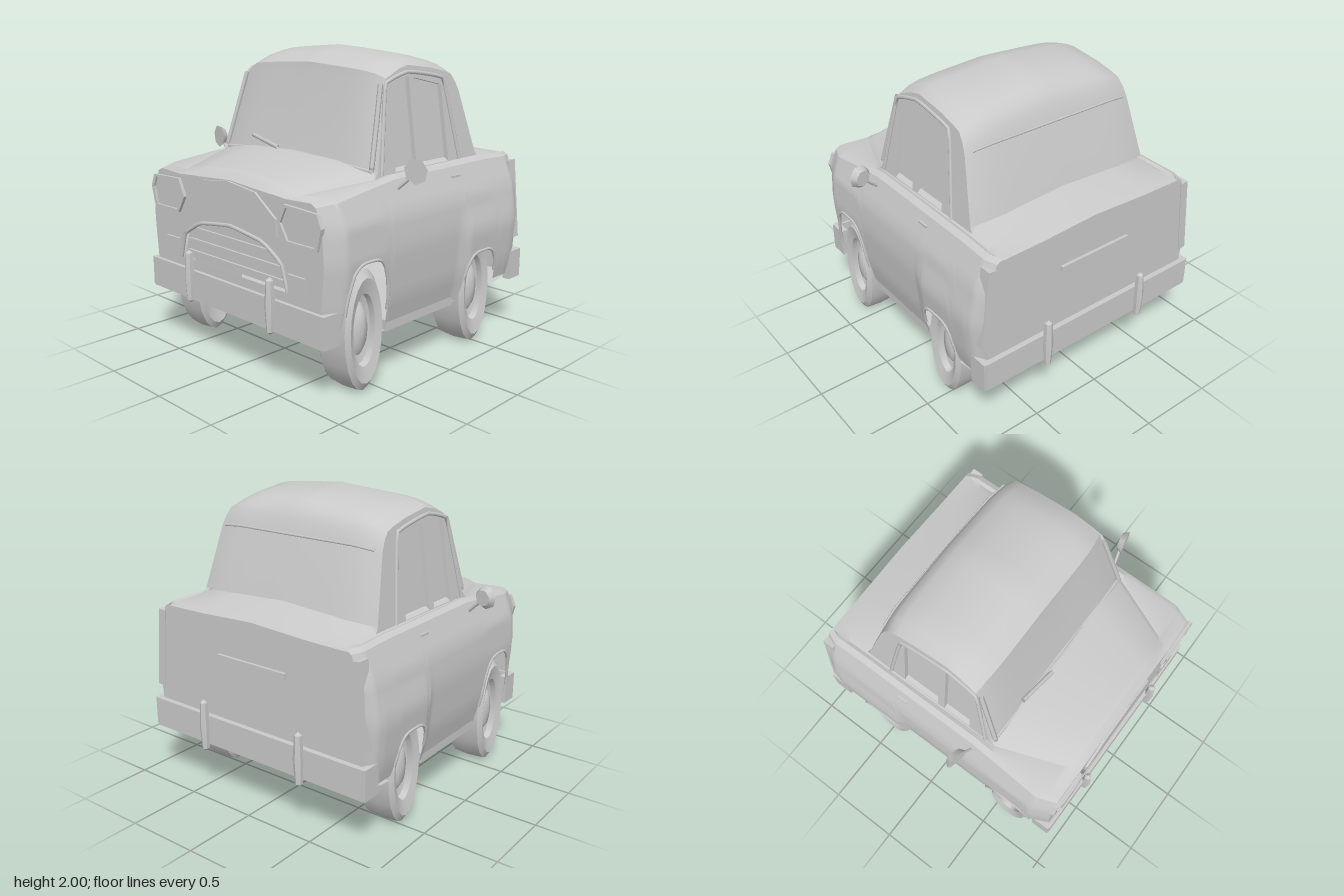
import * as THREE from 'three';
import { toCreasedNormals } from 'three/addons/utils/BufferGeometryUtils.js';

const paint = new THREE.MeshStandardMaterial({ color: 0xcacaca, side: THREE.DoubleSide });
paint.name = 'plain grey';

// piecewise linear lookup, keys ascending
function lerpKeys(keys, t) {
  if (t <= keys[0][0]) return keys[0][1];
  for (let i = 1; i < keys.length; i++) {
    const [a, va] = keys[i - 1], [b, vb] = keys[i];
    if (t <= b) return va + (vb - va) * (t - a) / (b - a);
  }
  return keys[keys.length - 1][1];
}

// surface through rows of points
function loft(rows, crease = 0.5) {
  const n = rows[0].length, index = [];
  for (let i = 0; i < rows.length - 1; i++)
    for (let j = 0; j < n - 1; j++) {
      const a = i * n + j, c = a + n;
      index.push(a, c, a + 1, a + 1, c, c + 1);
    }
  const g = new THREE.BufferGeometry();
  g.setAttribute('position', new THREE.Float32BufferAttribute(rows.flat(2), 3));
  g.setIndex(index);
  return toCreasedNormals(g, crease);
}

const toShape = pts => new THREE.Shape(pts.map(p => new THREE.Vector2(p[0], p[1])));

// ---- body dimensions ----
const FRONT = 0.93, BACK = -0.92;
const arches = [{ z: 0.61, half: 0.19, top: 0.83 }, { z: -0.475, half: 0.17, top: 0.67 }];
const width = [[0.34, 0.80], [0.55, 0.85], [0.85, 0.875], [1.05, 0.86], [1.25, 0.78]];
const shoulder = [[BACK, 1.24], [-0.6, 1.25], [0.3, 1.25], [0.5, 1.23], [FRONT, 1.18]];
const deck = [[BACK, 1.26], [-0.6, 1.33], [0.4, 1.33], [0.87, 1.265], [FRONT, 1.21]];
const hoodHalf = [[BACK, 0.68], [0.4, 0.67], [FRONT, 0.46]];
const taper = [[BACK, 0.96], [-0.84, 1], [0.8, 1], [FRONT, 0.93]];
// rear fender swelling: along z, fading out with height
const swellZ = [[-0.9, 0.01], [-0.78, 0.03], [-0.34, 0.03], [-0.24, 0]];
const swellY = [[0.8, 1], [1.0, 0]];
const sideX = (y, z) => (lerpKeys(width, y) + lerpKeys(swellZ, z) * lerpKeys(swellY, y)) * lerpKeys(taper, z);

function bottomEdge(z) {
  const base = z > -0.3 && z < 0.78 ? 0.35 : 0.42;
  for (const a of arches) {
    const u = Math.abs(z - a.z) / a.half;
    if (u < 1) return base + (a.top - base) * Math.sqrt(1 - u ** 4);
  }
  return base;
}

function bodySection(z) {
  const yb = bottomEdge(z), ys = lerpKeys(shoulder, z), yh = lerpKeys(deck, z);
  const hx = lerpKeys(hoodHalf, z), half = [];
  for (let i = 0; i <= 14; i++) {
    const y = yb + (ys - yb) * i / 14;
    half.push([sideX(y, z), y, z]);
  }
  const top = half[14][0];
  half.push([top - 0.04, ys + 0.02, z], [hx + 0.04, ys + 0.01, z], [hx, ys + (yh - ys) * 0.5, z],
    [hx * 0.6, yh - 0.005, z], [0, yh + 0.015, z]);
  return half.concat(half.slice(0, -1).reverse().map(([x, y, w]) => [-x, y, w]));
}

// ---- cabin dimensions: z, y at the centre, drop at the edge ----
const roofLine = [[0.40, 1.31, 0.02], [0.26, 1.84, 0.04], [0.25, 1.9, 0.07], [0.13, 1.96, 0.08], [-0.02, 2.0, 0.1],
  [-0.25, 1.97, 0.1], [-0.38, 1.94, 0.1], [-0.44, 1.9, 0.08], [-0.48, 1.83, 0.06], [-0.51, 1.74, 0.03], [-0.63, 1.32, 0.02]];
const cabinHalf = y => 0.71 - (y - 1.24) * 0.14;

// flat shape in z,y leaned inward onto the cabin side
function cabinSide(shape, depth, inset, side) {
  const g = new THREE.ExtrudeGeometry(shape, { depth, bevelEnabled: false });
  const p = g.attributes.position;
  for (let i = 0; i < p.count; i++) {
    const z = p.getX(i), y = p.getY(i);
    p.setXYZ(i, side * (cabinHalf(y) - inset - p.getZ(i)), y, z);
  }
  g.computeVertexNormals();
  return g;
}

export function createModel() {
  const model = new THREE.Group();
  model.name = 'car';
  const add = (name, geo, x = 0, y = 0, z = 0, parent = model) => {
    const m = new THREE.Mesh(geo, paint);
    m.name = name;
    m.position.set(x, y, z);
    parent.add(m);
    return m;
  };
  const box = (name, w, h, d, x, y, z) => add(name, new THREE.BoxGeometry(w, h, d), x, y, z);
  const tube = (name, pts, r) => add(name, new THREE.TubeGeometry(
    new THREE.CatmullRomCurve3(pts.map(p => new THREE.Vector3(...p)), false, 'catmullrom', 0.1), 24, r, 6));

  // body shell with wheel arches
  const rows = [];
  for (let i = 0; i <= 92; i++) rows.push(bodySection(FRONT + (BACK - FRONT) * i / 92));
  add('bodyShell', loft(rows, 0.7));

  // front panel with grille mouth, back panel
  const mouth = [[-0.52, 0.63], [-0.47, 0.8], [-0.3, 0.9], [0, 0.94], [0.3, 0.9], [0.47, 0.8], [0.52, 0.63]];
  const face = toShape(bodySection(FRONT));
  face.holes.push(toShape(mouth));
  add('frontPanel', new THREE.ShapeGeometry(face), 0, 0, FRONT);
  add('backPanel', new THREE.ShapeGeometry(toShape(bodySection(BACK))).rotateY(Math.PI), 0, 0, BACK);
  add('grilleBack', new THREE.ShapeGeometry(toShape(mouth.map(([x, y]) => [x * 1.03, y]))), 0, 0, 0.89);
  for (const [y, w] of [[0.68, 0.98], [0.76, 0.94], [0.84, 0.78]]) box('grilleBar', w, 0.012, 0.02, 0, y, 0.895);
  tube('grilleSurround', mouth.map(([x, y]) => [x, y, FRONT + 0.005]), 0.013);

  // raised nose between the headlights
  const nose = [[-0.44, 0.95], [-0.43, 1.06], [-0.25, 1.19], [0, 1.22], [0.25, 1.19], [0.43, 1.06], [0.44, 0.95], [0.3, 0.93], [0, 0.96], [-0.3, 0.93]];
  add('nose', new THREE.ExtrudeGeometry(toShape(nose), { depth: 0.015, bevelEnabled: false }), 0, 0, FRONT);

  // underside, narrowed between the wheels: z, half width, y
  const floor = [[0.92, 0.78, 0.38], [0.8, 0.8, 0.36], [0.8, 0.55, 0.36], [0.42, 0.55, 0.33], [0.42, 0.8, 0.33],
    [-0.29, 0.8, 0.34], [-0.29, 0.55, 0.34], [-0.65, 0.55, 0.38], [-0.65, 0.84, 0.38], [-0.92, 0.82, 0.4]];
  add('floor', loft(floor.map(([z, w, y]) => [[w, y, z], [-w, y, z]])));

  // roof with windscreen and rear window in one skin
  const roofRows = roofLine.map(([z, y, drop]) => {
    const row = [];
    for (let i = 0; i <= 16; i++) {
      const u = 1 - i / 8, a = Math.abs(u);
      row.push([u * cabinHalf(y - drop), y - drop * (0.5 * a + 0.5 * a ** 8), z - 0.03 * a ** 6 * Math.sign(z)]);
    }
    return row;
  });
  add('roofAndScreens', loft(roofRows, 0.8));
  tube('rearScreenTop', [[-0.6, 1.72, -0.495], [-0.45, 1.735, -0.51], [0.45, 1.735, -0.51], [0.6, 1.72, -0.495]], 0.008);

  // cabin sides with door windows
  const outline = [[0.41, 1.24], ...roofLine.map(([z, y, d]) => [z - 0.03 * Math.sign(z), y - d]), [-0.64, 1.24]];
  const windows = [
    [[0.21, 1.27], [0.2, 1.8], [0.01, 1.83], [0.01, 1.27]],
    [[-0.04, 1.27], [-0.04, 1.82], [-0.3, 1.76], [-0.31, 1.27]]];
  for (const s of [1, -1]) {
    const panel = toShape(outline);
    windows.forEach(w => panel.holes.push(toShape(w)));
    add('cabinSide', cabinSide(panel, 0.04, 0, s));
    windows.forEach(w => add('sideWindow', cabinSide(toShape(w), 0.008, 0.03, s)));
    const edge = (y, z) => [s * (cabinHalf(y) + 0.003), y, z];
    tube('roofGutter', [edge(1.27, 0.34), edge(1.8, 0.235), edge(1.86, 0.02), edge(1.8, -0.32), edge(1.27, -0.42)], 0.013);
    tube('screenPillar', [[s * 0.68, 1.3, 0.4], [s * 0.62, 1.8, 0.26]], 0.016);

    // headlight: wide six-sided lens in a rim, and indicator below
    const lens = [[-0.16, 0], [-0.11, 0.1], [0.13, 0.09], [0.16, 0.02], [0.13, -0.1], [-0.1, -0.1]].map(([x, y]) => [s * x, y]);
    const grow = k => toShape(lens.map(([x, y]) => [x * k, y * k]));
    const rim = grow(1.14);
    rim.holes.push(grow(0.97));
    add('headlight', new THREE.ExtrudeGeometry(grow(1), { depth: 0.015, bevelEnabled: false }), s * 0.63, 1.05, 0.92);
    add('headlightRim', new THREE.ExtrudeGeometry(rim, { depth: 0.03, bevelEnabled: false }), s * 0.63, 1.05, 0.92);
    box('indicator', 0.14, 0.13, 0.03, s * 0.6, 0.69, 0.93);

    // door mirror
    tube('mirrorStem', [[s * 0.78, 1.18, 0.3], [s * 0.9, 1.29, 0.27]], 0.01);
    const mirror = add('mirror', new THREE.CylinderGeometry(0.08, 0.055, 0.04, 7).rotateX(Math.PI / 2), s * 0.92, 1.315, 0.265);
    mirror.rotation.y = s * 0.2;

    // sill, door handle, tail lamp
    box('sill', 0.04, 0.07, 0.66, s * 0.79, 0.36, 0.07);
    box('doorHandle', 0.03, 0.015, 0.08, s * 0.8, 1.19, -0.26);
    const tail = box('tailLamp', 0.06, 0.54, 0.08, s * 0.81, 0.94, -0.885);
    tail.rotation.z = s * 0.1;

    // bumper corners and pointed overriders
    for (const f of [1, -1]) {
      box('bumperCorner', 0.05, 0.2, 0.13, s * (f > 0 ? 0.81 : 0.85), f > 0 ? 0.47 : 0.48, f * 0.885);
      const guard = new THREE.LatheGeometry([[0, -0.18], [0.025, -0.16], [0.035, 0], [0.025, 0.16], [0, 0.18]]
        .map(p => new THREE.Vector2(...p)), 6);
      add('overrider', toCreasedNormals(guard, 0.4), s * 0.395, f > 0 ? 0.53 : 0.51, f * 0.965);
    }

    for (const a of arches) {
      // arch lip and inner wall of the wheel well
      const lip = [];
      for (let i = 0; i <= 12; i++) {
        const z = a.z + a.half * 0.98 * Math.cos(Math.PI * i / 12), y = bottomEdge(z);
        lip.push([s * sideX(y, z), y, z]);
      }
      tube('archLip', lip, 0.01);
      box('wheelWell', 0.02, a.top - 0.34, a.half * 2, s * 0.545, (a.top + 0.37) / 2, a.z);

      // wheel, narrow fore and aft
      const wheel = new THREE.Group();
      wheel.name = 'wheel';
      wheel.position.set(s * 0.705, 0.395, a.z);
      wheel.scale.z = 0.41;
      model.add(wheel);
      const tyre = [[0.22, -0.12], [0.33, -0.14], [0.38, -0.11], [0.39, 0], [0.38, 0.11], [0.33, 0.14], [0.23, 0.12], [0.22, 0.08]];
      const turn = pts => toCreasedNormals(new THREE.LatheGeometry(
        pts.map(p => new THREE.Vector2(...p)), 20).rotateZ(-s * Math.PI / 2), 0.5);
      add('tyre', turn(tyre), 0, 0, 0, wheel);
      add('rim', turn([[0, -0.1], [0.225, -0.1], [0.225, 0.08], [0.17, 0.07], [0.12, 0.1], [0, 0.115]]), 0, 0, 0, wheel);
    }
  }

  // bumpers, boot handle, wiper
  box('frontBumper', 1.64, 0.2, 0.04, 0, 0.47, 0.935);
  box('rearBumper', 1.72, 0.2, 0.04, 0, 0.48, -0.935);
  box('bootHandle', 0.55, 0.035, 0.03, 0, 1.0, -0.925);
  tube('wiper', [[-0.4, 1.4, 0.4], [-0.12, 1.35, 0.43]], 0.014);
  tube('screenBase', [[-0.68, 1.29, 0.39], [0, 1.335, 0.41], [0.68, 1.29, 0.39]], 0.014);

  return model;
}
